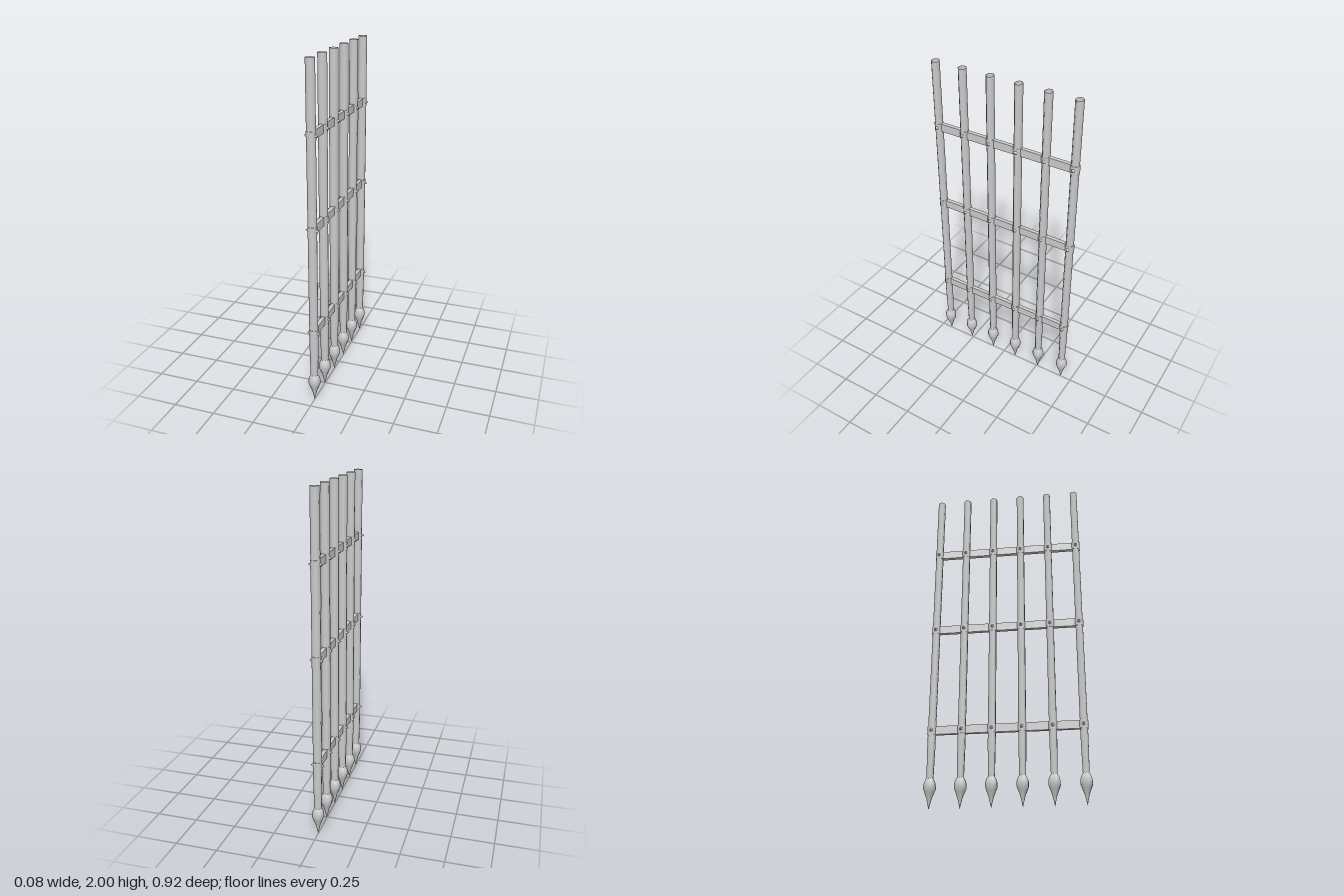
import * as THREE from 'three';

const material = new THREE.MeshStandardMaterial({ color: 0xcccccc, side: THREE.DoubleSide });
const SIDES = 8;
const barZ = [-0.43, -0.258, -0.086, 0.086, 0.258, 0.43];
const railY = [0.447, 1.077, 1.602];

// Octagonal lathe with flats facing the axes; profile is [radius, y]
function lathe(profile) {
  const points = profile.map(([r, y]) => new THREE.Vector2(r, y));
  return new THREE.LatheGeometry(points, SIDES, Math.PI / SIDES);
}

function addMesh(parent, name, geometry, x = 0, y = 0, z = 0) {
  const mesh = new THREE.Mesh(geometry, material);
  mesh.name = name;
  mesh.position.set(x, y, z);
  parent.add(mesh);
  return mesh;
}

export function createModel() {
  const model = new THREE.Group();
  model.name = 'portcullis';

  // Hollow shaft, slightly flattened, narrowing toward the spike
  const shaft = lathe([[0.022, 0.165], [0.026, 0.36], [0.026, 2]]).scale(1, 1, 0.88);
  // Bulbous spearhead pointing down
  const spike = lathe([
    [0, 0], [0.007, 0.03], [0.014, 0.06], [0.026, 0.09], [0.035, 0.113],
    [0.035, 0.138], [0.029, 0.158], [0.021, 0.172],
  ]);
  // Clamp around each crossing, closed above and below
  const collar = new THREE.CylinderGeometry(0.0275, 0.0275, 0.05, SIDES, 1, false, Math.PI / SIDES);
  collar.scale(0.97, 1, 0.97);
  // Pointed rivet, aimed along +x
  const rivet = new THREE.ConeGeometry(0.011, 0.017, SIDES).rotateZ(-Math.PI / 2);
  const rail = new THREE.BoxGeometry(0.023, 0.048, 0.86);

  // Upright bars
  for (const z of barZ) {
    const bar = new THREE.Group();
    bar.name = 'bar';
    bar.position.z = z;
    addMesh(bar, 'shaft', shaft);
    addMesh(bar, 'spike', spike);
    for (const y of railY) {
      addMesh(bar, 'collar', collar, 0, y);
      for (const side of [-1, 1]) {
        const stud = addMesh(bar, 'rivet', rivet, side * 0.032, y);
        if (side < 0) stud.rotation.y = Math.PI;
      }
    }
    model.add(bar);
  }

  // Cross rails
  for (const y of railY) addMesh(model, 'rail', rail, 0, y);

  return model;
}
